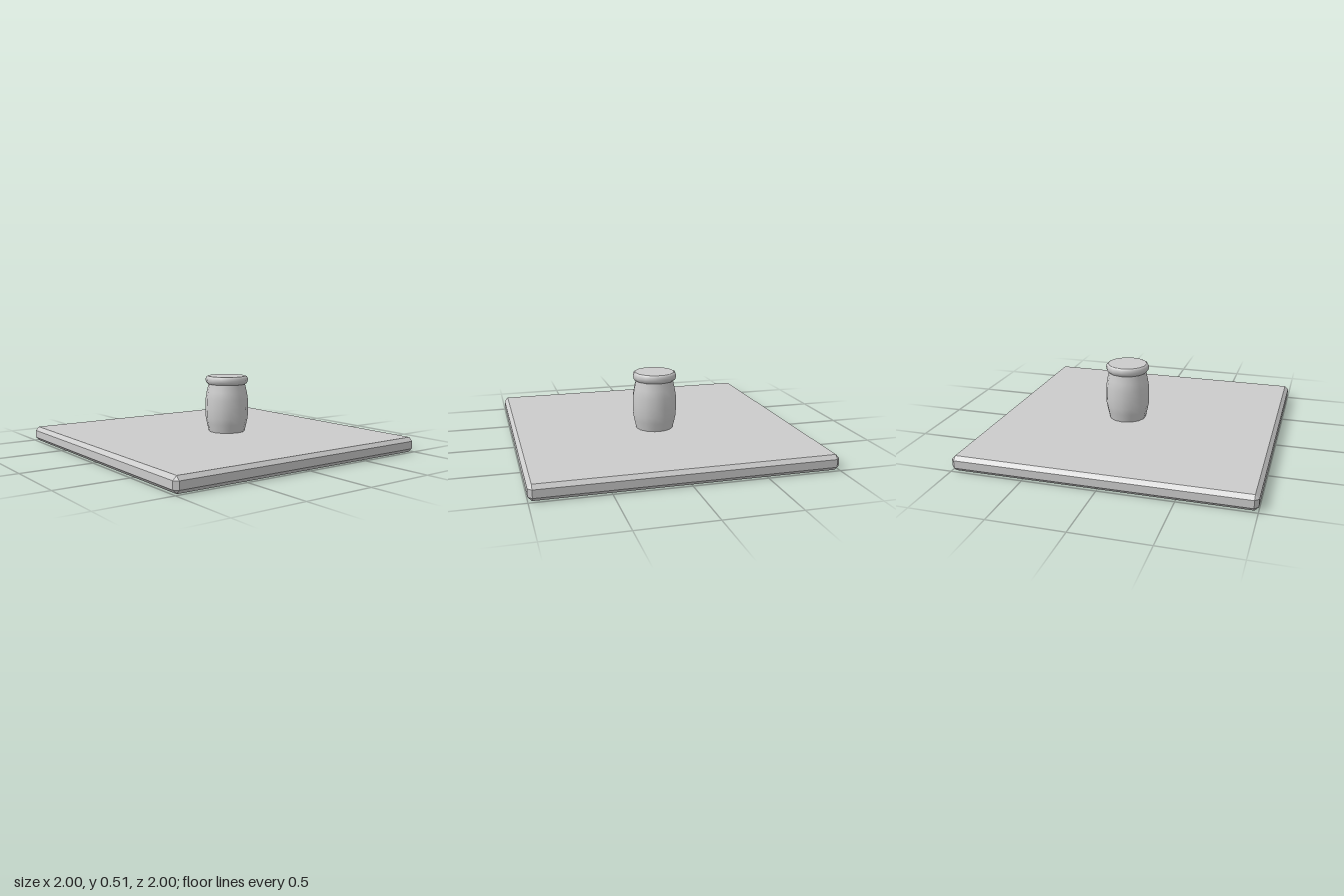
import * as THREE from 'three';
import { ConvexGeometry } from 'three/addons/geometries/ConvexGeometry.js';

const SIDES = 14;
const grey = (options = {}) => new THREE.MeshStandardMaterial({ color: 0xcccccc, ...options });

function part(name, geometry, material) {
  const mesh = new THREE.Mesh(geometry, material);
  mesh.name = name;
  return mesh;
}

// Box with every edge cut at 45 degrees: three points per corner
function chamferedBox(w, h, d, c) {
  const points = [];
  for (const sx of [-1, 1]) for (const sy of [-1, 1]) for (const sz of [-1, 1]) {
    const x = w / 2, y = h / 2, z = d / 2;
    for (const [px, py, pz] of [[x, y - c, z - c], [x - c, y, z - c], [x - c, y - c, z]]) {
      points.push(new THREE.Vector3(sx * px, sy * py, sz * pz));
    }
  }
  return new ConvexGeometry(points);
}

// Turned shape with a corner on each side of the x axis
function turned(profile) {
  const points = profile.map(([r, y]) => new THREE.Vector2(r, y));
  return new THREE.LatheGeometry(points, SIDES, Math.PI / 2);
}

export function createModel() {
  const model = new THREE.Group();
  model.name = 'jarOnSlab';

  // Square base slab
  const slab = part('slab', chamferedBox(2, 0.105, 2, 0.026), grey({ flatShading: true }));
  slab.position.y = 0.0525;
  model.add(slab);

  // Jar, standing a little behind the middle
  const jar = new THREE.Group();
  jar.name = 'jar';
  jar.position.set(0, 0.105, -0.093);
  model.add(jar);

  // Bulging body
  jar.add(part('jarBody', turned([
    [0.133, 0], [0.147, 0.06], [0.156, 0.105], [0.157, 0.17],
    [0.156, 0.24], [0.147, 0.295], [0.135, 0.345], [0.135, 0.36],
  ]), grey({ side: THREE.DoubleSide })));

  // Rounded lid rim with a flat top
  jar.add(part('lidRim', turned([
    [0.125, 0.347], [0.142, 0.35], [0.152, 0.362], [0.156, 0.378],
    [0.154, 0.394], [0.148, 0.404], [0.14, 0.408],
  ]), grey({ side: THREE.DoubleSide })));
  const top = part('lidTop', new THREE.CircleGeometry(0.14, SIDES), grey());
  top.rotation.x = -Math.PI / 2;
  top.position.y = 0.408;
  jar.add(top);

  return model;
}
